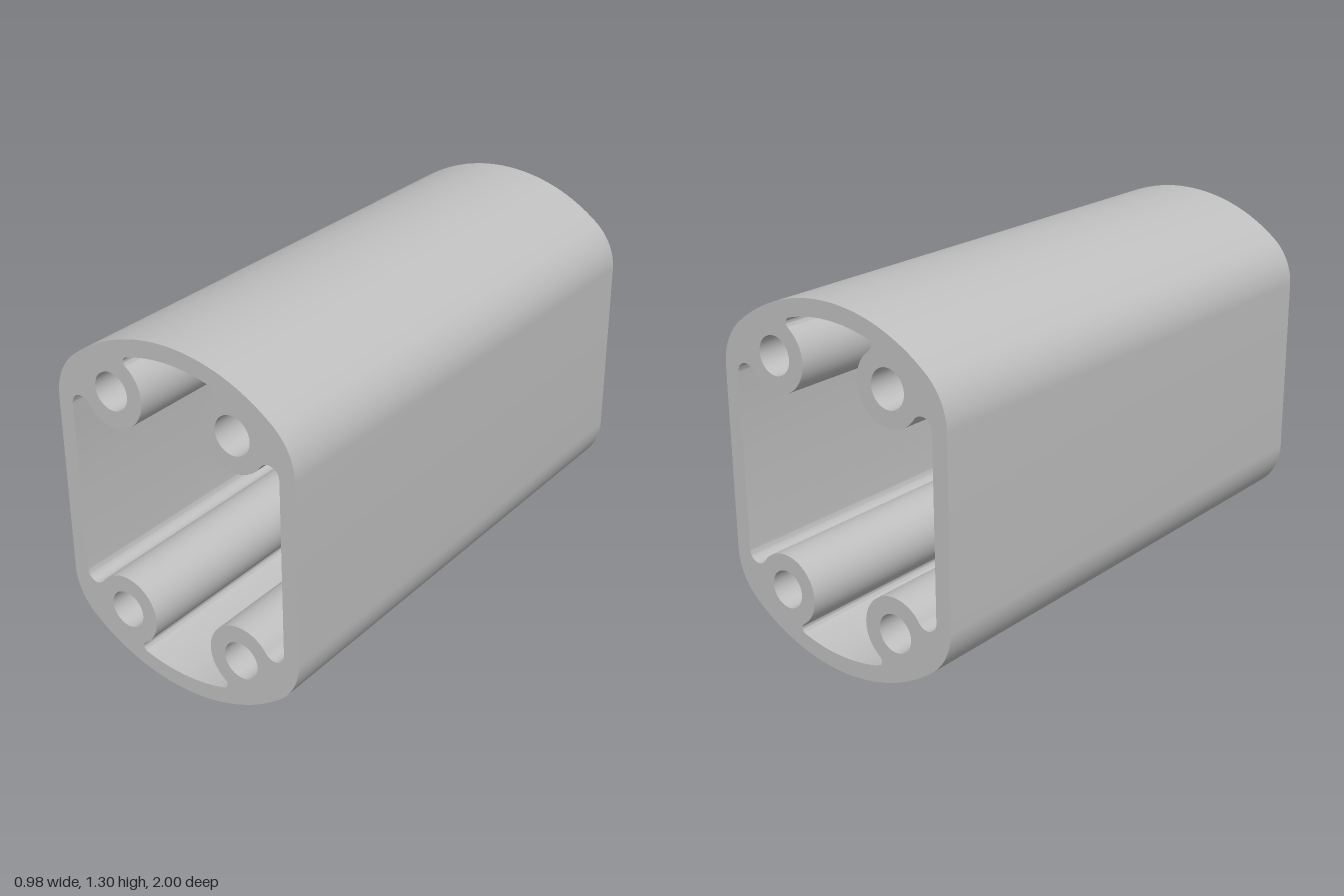
import * as THREE from 'three';
import { toCreasedNormals } from 'three/addons/utils/BufferGeometryUtils.js';

const V = (x, y) => new THREE.Vector2(x, y);
const LENGTH = 2, HALF_HEIGHT = 0.65, HALF_WIDTH = 0.49, WALL = 0.06;

// Points along an arc; the sweep runs straight from angle a to angle b.
function arc(c, r, a, b, n) {
  return Array.from({ length: n + 1 }, (_, i) => {
    const t = a + ((b - a) * i) / n;
    return V(c.x + r * Math.cos(t), c.y + r * Math.sin(t));
  });
}

// Mirrors a quarter outline (top centre to right centre) into a full
// counter-clockwise ring.
function fullRing(quarter) {
  const flip = (sx, sy) => quarter.map((p) => V(p.x * sx, p.y * sy));
  const ring = [
    ...quarter,
    ...flip(1, -1).reverse().slice(1),
    ...flip(-1, -1).slice(1),
    ...flip(-1, 1).reverse().slice(1, -1),
  ];
  return ring.map((p) => V(p.x, p.y + HALF_HEIGHT)).reverse();
}

const direction = (from, to) => Math.atan2(to.y - from.y, to.x - from.x);

export function createModel() {
  const group = new THREE.Group();
  group.name = 'extrudedProfile';
  const aluminium = new THREE.MeshStandardMaterial({ color: 0xc0c0c0 });
  aluminium.name = 'aluminium grey';

  const origin = V(0, 0), top = Math.PI / 2;

  // Outer outline: crowned top blending into a rounded corner and a flat side.
  const cornerR = 0.22;
  const cornerX = HALF_WIDTH - cornerR;
  const corner = V(cornerX, Math.sqrt((HALF_HEIGHT - cornerR) ** 2 - cornerX ** 2));
  const blend = direction(origin, corner);
  const outer = [
    ...arc(origin, HALF_HEIGHT, top, blend, 16),
    ...arc(corner, cornerR, blend, 0, 14).slice(1),
    V(HALF_WIDTH, 0),
  ];

  // Inner outline: crown, small notch, round screw boss, groove, flat side.
  const boss = V(0.25, 0.42), bossR = 0.13;
  const notch = V(0.1666, 0.5451), notchR = 0.02;
  const grooveR = 0.04;
  const grooveX = HALF_WIDTH - WALL - grooveR;
  const groove = V(grooveX, boss.y - Math.sqrt((bossR + grooveR) ** 2 - (grooveX - boss.x) ** 2));
  const notchStart = direction(origin, notch);
  const grooveStart = direction(groove, boss);
  const inner = [
    ...arc(origin, 0.59, top, notchStart, 8),
    ...arc(notch, notchR, notchStart, direction(notch, boss), 10).slice(1),
    ...arc(boss, bossR, direction(boss, notch), direction(boss, groove) + 2 * Math.PI, 30).slice(1),
    ...arc(groove, grooveR, grooveStart, 0, 12).slice(1),
    V(HALF_WIDTH - WALL, 0),
  ];

  const section = new THREE.Shape(fullRing(outer));
  section.holes.push(new THREE.Path(fullRing(inner)));

  // Screw channels through the four bosses.
  for (const sx of [-1, 1]) {
    for (const sy of [-1, 1]) {
      const centre = V(sx * boss.x, HALF_HEIGHT + sy * boss.y);
      section.holes.push(new THREE.Path(arc(centre, 0.069, 0, 2 * Math.PI, 40).slice(0, -1)));
    }
  }

  const geometry = new THREE.ExtrudeGeometry(section, { depth: LENGTH, bevelEnabled: false });
  geometry.translate(0, 0, -LENGTH / 2);
  const tube = new THREE.Mesh(toCreasedNormals(geometry, 0.6), aluminium);
  tube.name = 'tubeWithScrewBosses';
  group.add(tube);
  return group;
}
